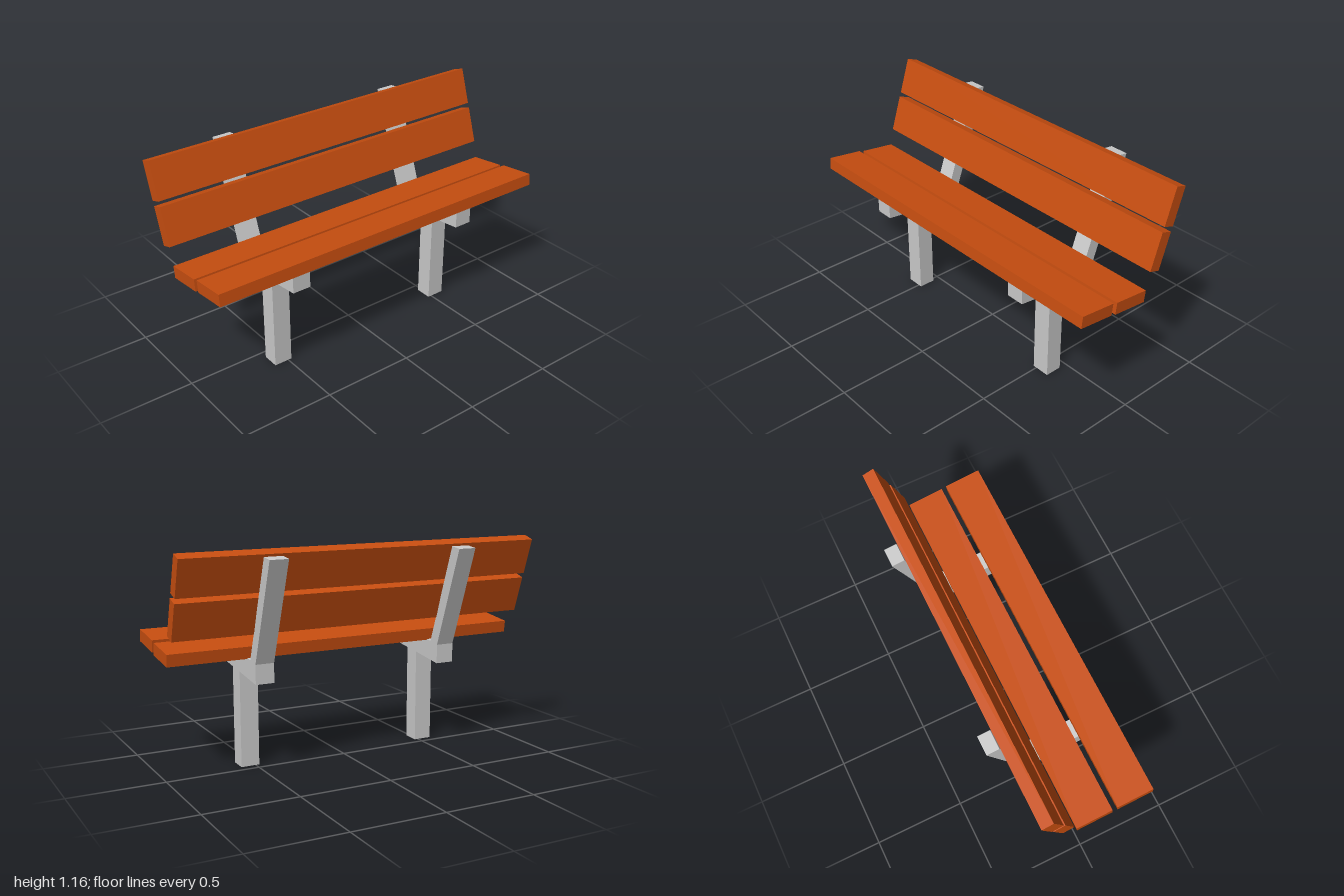
import * as THREE from 'three';

export function createModel() {
  const bench = new THREE.Group();
  bench.name = 'bench';
  const metal = new THREE.MeshStandardMaterial({ color: 0xcccccc });
  const wood = new THREE.MeshStandardMaterial({ color: 0xc84e10 });

  // Side profile of a support: post, seat bearer and reclined back arm
  const profile = new THREE.Shape([
    [0.043, 0], [0.135, 0], [0.135, 0.521], [0.323, 0.543], [0.323, 0.648],
    [-0.102, 0.598], [-0.292, 1.13], [-0.358, 1.122], [-0.167, 0.587],
    [-0.167, 0.485], [0.043, 0.511],
  ].map(([x, y]) => new THREE.Vector2(x, y)));
  const thickness = 0.1;
  const frameGeometry = new THREE.ExtrudeGeometry(profile, { depth: thickness, bevelEnabled: false });
  frameGeometry.translate(0, 0, -thickness / 2);

  for (const [name, z] of [['frontSupport', 0.53], ['backSupport', -0.53]]) {
    const support = new THREE.Mesh(frameGeometry, metal);
    support.name = name;
    support.position.z = z;
    bench.add(support);
  }

  // Planks run the full length; each is tilted about the long axis
  const plankGeometry = new THREE.BoxGeometry(0.2, 0.064, 2);
  const seatTilt = 0.118;
  const backTilt = 0.315 + Math.PI / 2;
  const planks = [
    ['rearSeatPlank', 0.028, 0.6415, seatTilt],
    ['frontSeatPlank', 0.253, 0.6735, seatTilt],
    ['lowerBackPlank', -0.156, 0.8415, backTilt],
    ['upperBackPlank', -0.228, 1.057, backTilt],
  ];
  for (const [name, x, y, tilt] of planks) {
    const plank = new THREE.Mesh(plankGeometry, wood);
    plank.name = name;
    plank.position.set(x, y, 0);
    plank.rotation.z = tilt;
    bench.add(plank);
  }

  return bench;
}
